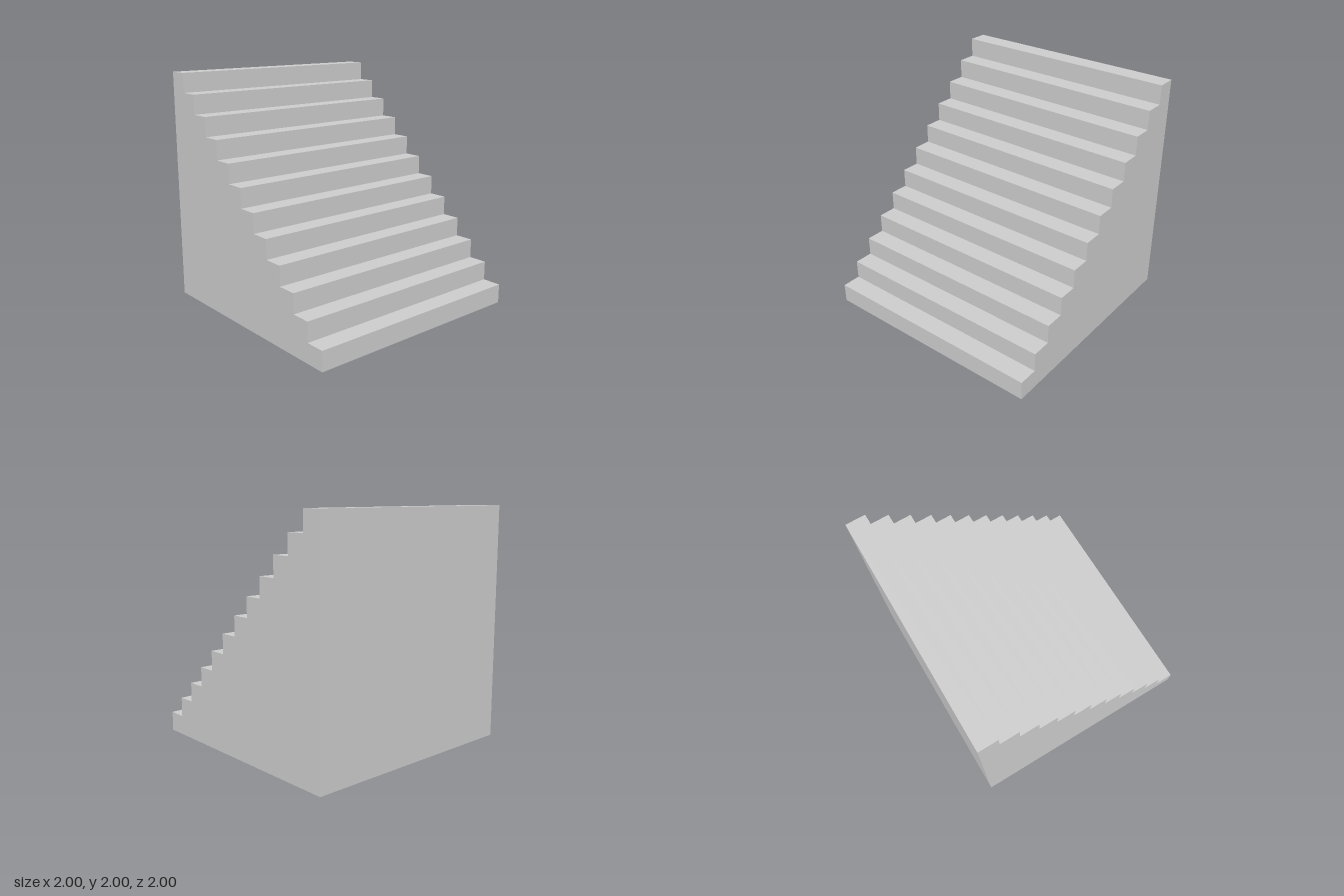
import * as THREE from 'three';

const STEPS = 12;
const SIZE = 2;

export function createModel() {
  const group = new THREE.Group();
  group.name = 'staircase';

  // Stepped side profile: highest at -x, descending towards +x
  const step = SIZE / STEPS;
  const profile = new THREE.Shape();
  profile.moveTo(-SIZE / 2, 0);
  profile.lineTo(SIZE / 2, 0);
  for (let i = 0; i < STEPS; i++) {
    const y = (i + 1) * step;
    profile.lineTo(SIZE / 2 - i * step, y); // riser
    profile.lineTo(SIZE / 2 - (i + 1) * step, y); // tread
  }
  profile.closePath();

  // Solid block of stairs, extruded across the full depth
  const geometry = new THREE.ExtrudeGeometry(profile, { depth: SIZE, bevelEnabled: false });
  geometry.translate(0, 0, -SIZE / 2);

  const material = new THREE.MeshStandardMaterial({ color: 0xcccccc, flatShading: true });
  const stairs = new THREE.Mesh(geometry, material);
  stairs.name = 'stairs';
  group.add(stairs);
  return group;
}
